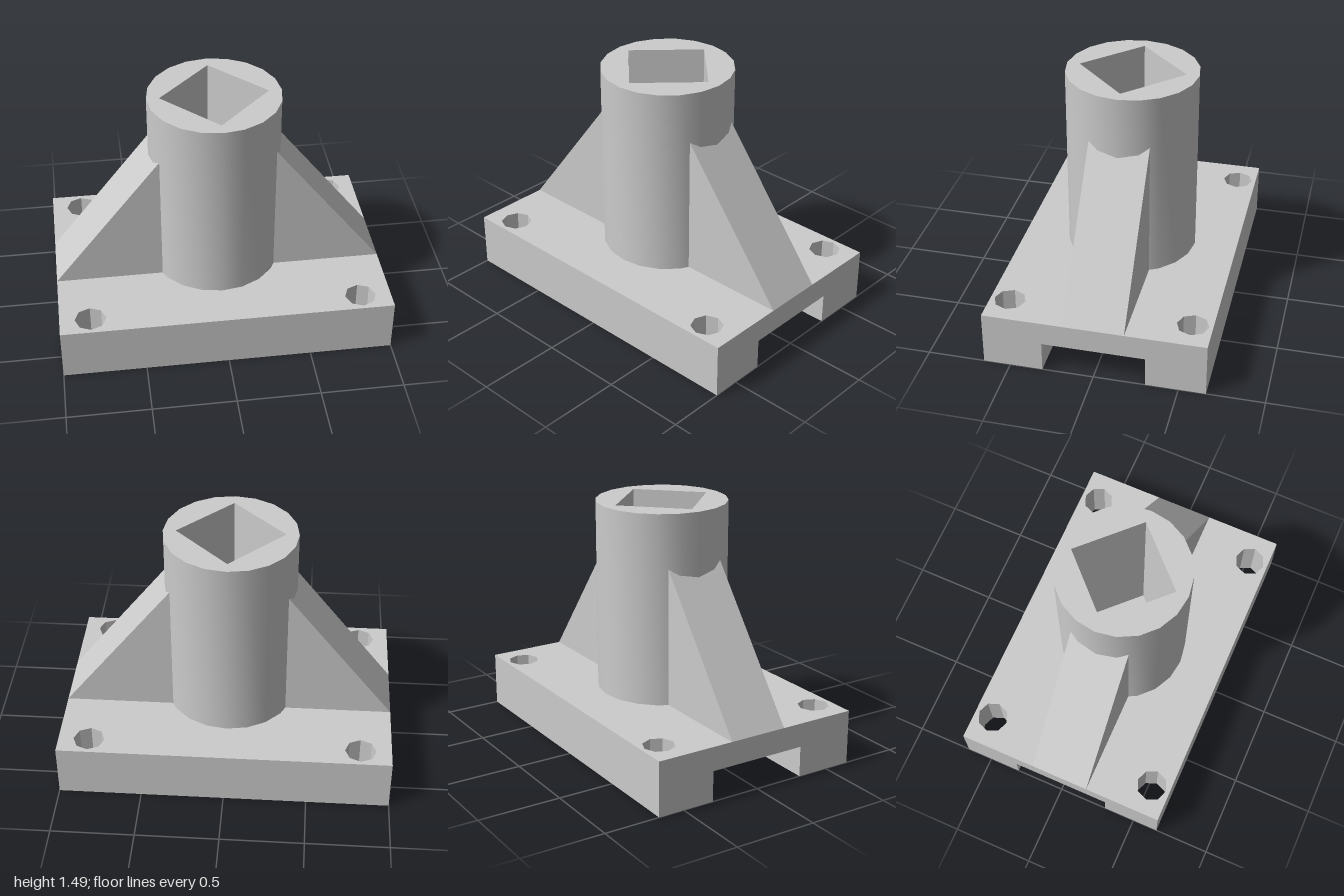
import * as THREE from 'three';
import { toCreasedNormals } from 'three/addons/utils/BufferGeometryUtils.js';

const RAIL_TOP = 0.185, BASE_TOP = 0.33, TUBE_TOP = 1.49;
const HOLE_X = 0.815, HOLE_Z = 0.543;

// Regular polygon with its first corner on the +z/-z axis
function polygon(cx, cz, r, sides) {
  return Array.from({ length: sides }, (_, i) => {
    const a = Math.PI / 2 + (i / sides) * Math.PI * 2;
    return new THREE.Vector2(cx + r * Math.cos(a), cz + r * Math.sin(a));
  });
}

function rectangle(x, z0, z1) {
  return [[-x, z0], [x, z0], [x, z1], [-x, z1]].map(p => new THREE.Vector2(...p));
}

// Raises a floor-plan outline with holes from y0 to y1
function slab(outline, holes, y0, y1) {
  const shape = new THREE.Shape(outline);
  holes.forEach(h => shape.holes.push(new THREE.Path(h)));
  const geo = new THREE.ExtrudeGeometry(shape, { depth: y1 - y0, bevelEnabled: false });
  geo.rotateX(-Math.PI / 2).translate(0, y0, 0);
  return toCreasedNormals(geo, 0.45);
}

export function createModel() {
  const group = new THREE.Group();
  const material = new THREE.MeshStandardMaterial({ color: 0xcccccc });
  const add = (name, geo) => {
    const mesh = new THREE.Mesh(geo, material);
    mesh.name = name;
    group.add(mesh);
    return mesh;
  };
  const boltHoles = s => [-1, 1].map(k => polygon(k * HOLE_X, s * HOLE_Z, 0.094, 8));

  // Base plate with four bolt holes and a central bore
  add('basePlate', slab(rectangle(1, -0.66, 0.66),
    [...boltHoles(-1), ...boltHoles(1), polygon(-0.005, 0, 0.158, 12)], RAIL_TOP, BASE_TOP));

  // Two rails forming the channel underneath
  add('frontRail', slab(rectangle(1, -0.66, -0.305), boltHoles(-1), 0, RAIL_TOP));
  add('backRail', slab(rectangle(1, 0.305, 0.66), boltHoles(1), 0, RAIL_TOP));

  // Round column with a square socket turned 45 degrees
  add('column', slab(polygon(-0.005, 0.003, 0.396, 20),
    [polygon(-0.005, 0.003, 0.32, 4)], BASE_TOP, TUBE_TOP));

  // Triangular gussets on both sides, ending inside the column wall
  const profile = new THREE.Shape([[0.34, BASE_TOP], [1, BASE_TOP], [0.34, 1.18]]
    .map(p => new THREE.Vector2(...p)));
  const rib = new THREE.ExtrudeGeometry(profile, { depth: 0.362, bevelEnabled: false });
  rib.translate(0, 0, -0.183);
  add('leftGusset', rib);
  add('rightGusset', rib.clone().translate(0, 0, 0.002).rotateY(Math.PI));

  return group;
}
